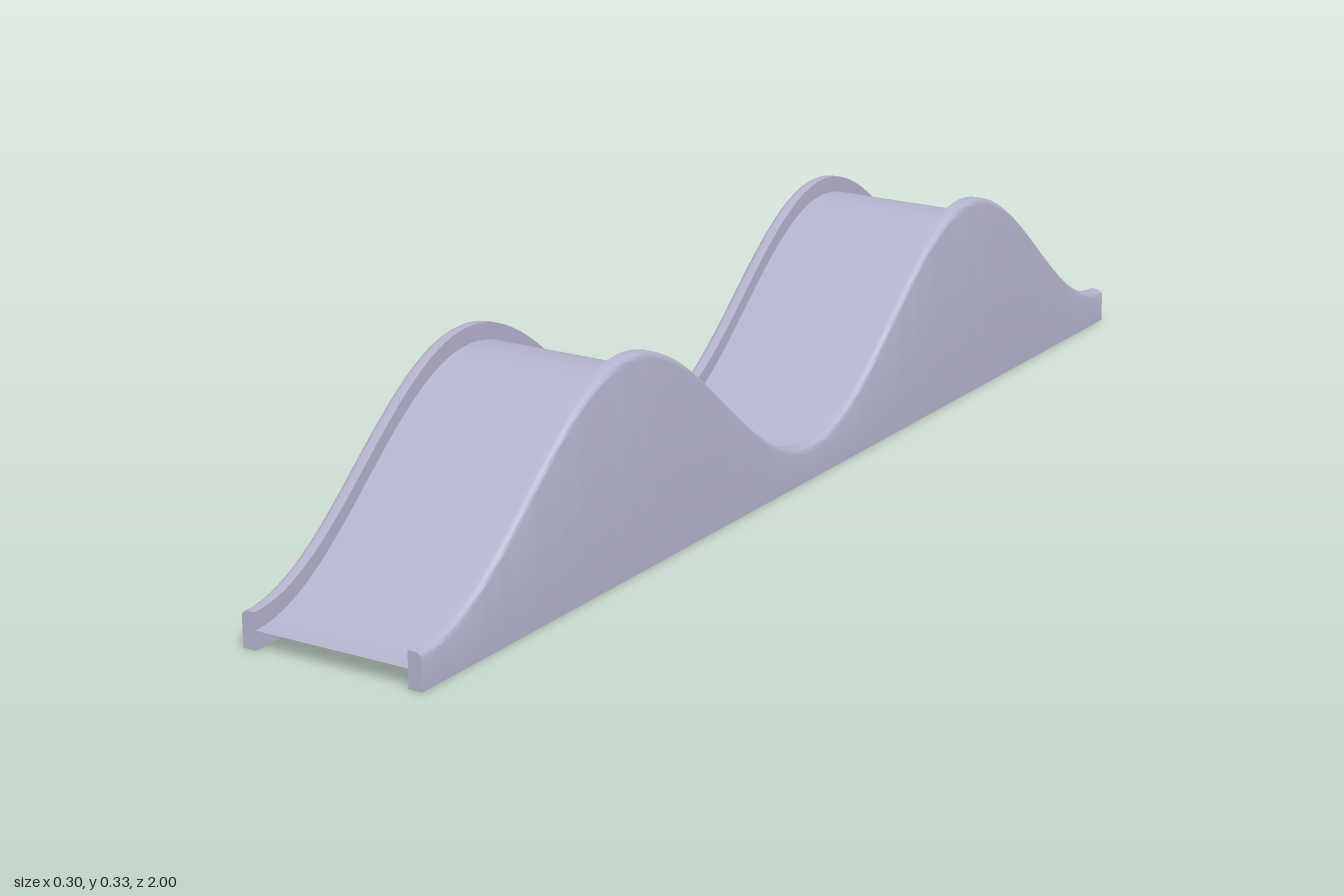
import * as THREE from 'three';
import { toCreasedNormals } from 'three/addons/utils/BufferGeometryUtils.js';

const SEGMENTS = 96;
const INNER = 0.127, OUTER = 0.149, ROUND = 0.01, DECK_DROP = 0.026;

// Height of the wall's top edge along the length: two smooth humps
const crest = (z) => 0.191 - 0.136 * Math.cos(2 * Math.PI * z);

// Wall cross-section: flat inside, rounded outer top edge
function wallSection(z) {
  const top = crest(z);
  const points = [[INNER, 0], [INNER, top]];
  for (let i = 0; i <= 4; i++) {
    const a = (Math.PI / 2) * (1 - i / 4);
    points.push([OUTER - ROUND + ROUND * Math.cos(a), top - ROUND + ROUND * Math.sin(a)]);
  }
  points.push([OUTER, 0]);
  return points;
}

// Sweeps the cross-section from back to front; side is 1 (left) or -1 (right)
function wallGeometry(side) {
  const positions = [], index = [];
  const n = wallSection(0).length;
  const tri = (a, b, c) => (side > 0 ? index.push(a, b, c) : index.push(a, c, b));
  for (let s = 0; s <= SEGMENTS; s++) {
    const z = -1 + (2 * s) / SEGMENTS;
    for (const [x, y] of wallSection(z)) positions.push(side * x, y, z);
  }
  for (let s = 0; s < SEGMENTS; s++) {
    for (let i = 0; i < n; i++) {
      const a = s * n + i, b = s * n + ((i + 1) % n);
      tri(a, a + n, b);
      tri(b, a + n, b + n);
    }
  }
  // End caps
  const last = SEGMENTS * n;
  for (let i = 1; i < n - 1; i++) {
    tri(0, i, i + 1);
    tri(last, last + i + 1, last + i);
  }
  const geometry = new THREE.BufferGeometry();
  geometry.setAttribute('position', new THREE.Float32BufferAttribute(positions, 3));
  geometry.setIndex(index);
  return toCreasedNormals(geometry, Math.PI / 6);
}

// Thin wavy sheet between the walls
function deckGeometry() {
  const geometry = new THREE.PlaneGeometry(2 * INNER, 2, 1, SEGMENTS);
  geometry.rotateX(-Math.PI / 2);
  const p = geometry.attributes.position;
  for (let i = 0; i < p.count; i++) p.setY(i, crest(p.getZ(i)) - DECK_DROP);
  geometry.computeVertexNormals();
  return geometry;
}

export function createModel() {
  const model = new THREE.Group();
  model.name = 'wavyRamp';
  const lavender = new THREE.MeshStandardMaterial({ color: 0xb5b4ce, side: THREE.DoubleSide });
  lavender.name = 'lavender grey';

  const add = (name, geometry) => {
    const mesh = new THREE.Mesh(geometry, lavender);
    mesh.name = name;
    model.add(mesh);
  };
  add('leftWall', wallGeometry(1));
  add('rightWall', wallGeometry(-1));
  add('deck', deckGeometry());
  return model;
}
